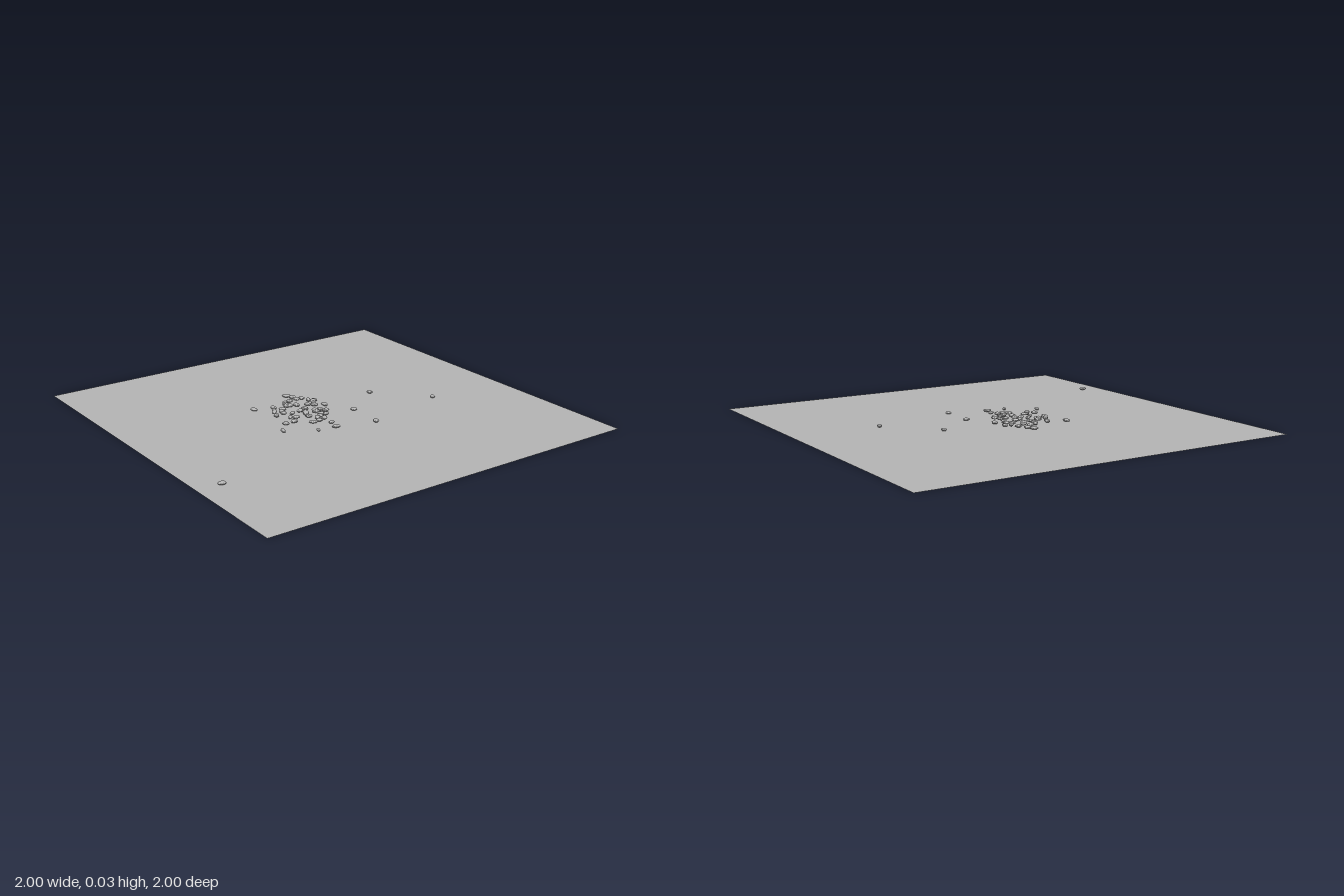
import * as THREE from 'three';

// Small seeded generator for repeatable variety
function seeded(seed) {
  return () => {
    seed = (seed * 16807) % 2147483647;
    return seed / 2147483647;
  };
}

// Larger outlying stones: x, z, length, width, turn in degrees
const OUTLIERS = [
  [0.155, -0.555, 0.034, 0.024, -30], [-0.085, -0.335, 0.034, 0.028, 0],
  [0.07, -0.12, 0.034, 0.03, 0], [0.26, -0.11, 0.036, 0.034, -30],
  [0.46, 0.88, 0.04, 0.034, 90], [0.205, 0.09, 0.042, 0.034, 75],
  [0.195, 0.185, 0.03, 0.016, -15], [0.15, 0.075, 0.034, 0.02, 95],
  [0.11, 0.328, 0.042, 0.024, -15], [-0.215, 0.287, 0.044, 0.03, 0],
  [0.035, 0.265, 0.036, 0.03, 45], [-0.284, 0.047, 0.046, 0.034, 50],
  [-0.25, 0.03, 0.04, 0.03, 60], [-0.07, -0.042, 0.044, 0.034, -10],
  [0.095, 0.145, 0.044, 0.03, 65], [0.03, 0.21, 0.042, 0.034, -20],
];

// Stones of the pile: x, z
const PILE = [
  [-0.155, -0.035], [-0.135, -0.015], [-0.17, -0.01], [-0.21, 0.005], [-0.115, -0.005],
  [-0.095, 0.005], [-0.2, 0.04], [-0.21, 0.075], [-0.12, 0.03], [0.005, 0.01],
  [-0.025, 0.02], [-0.03, 0.05], [-0.01, 0.05], [0.02, 0.045], [0.045, 0.035],
  [0.05, 0.07], [0.09, 0.075], [0.1, 0.11], [0.06, 0.095], [0.02, 0.12],
  [-0.015, 0.11], [-0.035, 0.1], [-0.065, 0.105], [-0.055, 0.12], [-0.08, 0.075],
  [-0.145, 0.08], [-0.145, 0.115], [-0.16, 0.13], [-0.18, 0.12], [-0.2, 0.11],
  [-0.18, 0.195], [-0.13, 0.17], [-0.13, 0.22], [-0.11, 0.235], [-0.075, 0.245],
  [-0.105, 0.195], [-0.085, 0.195], [-0.06, 0.16], [-0.02, 0.2], [0.005, 0.185],
  [0.045, 0.225],
];

// Lumpy faceted pebble of unit diameter
function pebbleGeometry(phase) {
  const geometry = new THREE.IcosahedronGeometry(0.5, 1);
  const position = geometry.attributes.position;
  const v = new THREE.Vector3();
  for (let i = 0; i < position.count; i++) {
    v.fromBufferAttribute(position, i);
    const lump = 1 + 0.1 * Math.sin(5 * v.x + phase) + 0.08 * Math.sin(7 * v.z + 2 * phase);
    const taper = 1 + 0.35 * v.x * Math.cos(phase);
    position.setXYZ(i, v.x * lump, v.y, v.z * lump * taper);
  }
  geometry.computeVertexNormals();
  return geometry;
}

export function createModel() {
  const model = new THREE.Group();
  const stoneGray = new THREE.MeshStandardMaterial({ color: 0xb4b4b4, flatShading: true });
  stoneGray.name = 'stone gray';
  const groundGray = new THREE.MeshStandardMaterial({ color: 0xb4b4b4, side: THREE.DoubleSide });
  groundGray.name = 'ground gray';

  // Flat square ground
  const ground = new THREE.Mesh(new THREE.PlaneGeometry(2, 2).rotateX(-Math.PI / 2), groundGray);
  ground.name = 'ground';
  model.add(ground);

  // Scattered stones
  const random = seeded(421);
  const shapes = [0.3, 1.4, 2.6, 3.9, 5.1].map(pebbleGeometry);
  const stones = new THREE.Group();
  stones.name = 'stones';
  model.add(stones);

  function addStone(x, z, length, width, turn, height, lift) {
    const stone = new THREE.Mesh(shapes[stones.children.length % shapes.length], stoneGray);
    stone.name = 'stone';
    stone.scale.set(length, height, width);
    stone.position.set(x, lift + height / 2, z);
    stone.rotation.y = turn;
    stones.add(stone);
  }

  for (const [x, z, length, width, degrees] of OUTLIERS) {
    addStone(x, z, length, width, THREE.MathUtils.degToRad(degrees), 0.015, 0.003);
  }
  for (const [x, z] of PILE) {
    const length = 0.034 + 0.01 * random();
    const width = 0.02 + 0.009 * random();
    const turn = Math.PI * random();
    const lift = 0.003 + 0.006 * random() ** 2;
    addStone(x, z, length, width, turn, 0.014 + 0.004 * random(), lift);
  }
  return model;
}
